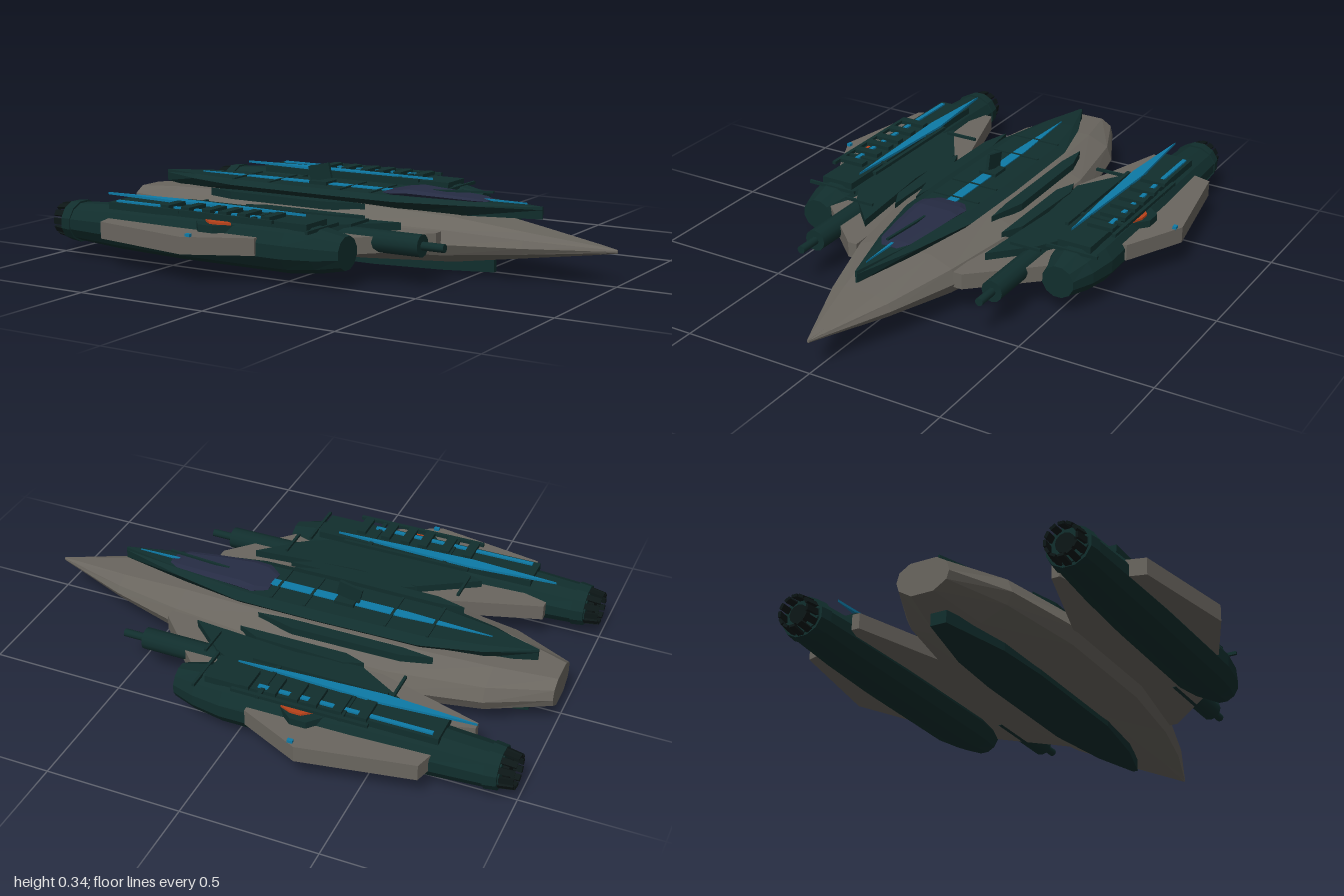
import * as THREE from 'three';

const mat = (name, color) => Object.assign(new THREE.MeshStandardMaterial({ color }), { name });

export function createModel() {
  const ship = new THREE.Group();
  ship.name = 'starship';
  const grey = mat('hull grey', 0x6a665f), dark = mat('dark teal', 0x112e2d);
  const blue = mat('blue trim', 0x0d7aa6), navy = mat('canopy navy', 0x262c44);
  const red = mat('red marking', 0xb8421a), black = mat('engine black', 0x0c1616);

  const add = (name, geo, material, parent = ship) => {
    const m = new THREE.Mesh(geo, material);
    m.name = name;
    parent.add(m);
    return m;
  };

  // Faceted body along x; sections are [x, centreY, halfWidth, halfHeight], profile is [z, y]
  const loft = (sections, profile) => {
    const n = profile.length, pos = [];
    const pt = (s, i) => {
      const [x, cy, w, h] = sections[s], [pz, py] = profile[i % n];
      return [x, cy + py * h, pz * w];
    };
    for (let s = 0; s < sections.length - 1; s++)
      for (let i = 0; i < n; i++)
        pos.push(...pt(s, i), ...pt(s + 1, i), ...pt(s + 1, i + 1),
          ...pt(s, i), ...pt(s + 1, i + 1), ...pt(s, i + 1));
    const e = sections.length - 1;
    for (let i = 0; i < n; i++) {
      pos.push(sections[0][0], sections[0][1], 0, ...pt(0, i), ...pt(0, i + 1));
      pos.push(sections[e][0], sections[e][1], 0, ...pt(e, i + 1), ...pt(e, i));
    }
    const g = new THREE.BufferGeometry();
    g.setAttribute('position', new THREE.Float32BufferAttribute(pos, 3));
    g.computeVertexNormals();
    return g;
  };

  // Flat slab from an outline of [x, z] points between two heights
  const slab = (points, y0, y1, side = 1) => {
    const shape = new THREE.Shape(points.map(([x, z]) => new THREE.Vector2(x, -z * side)));
    return new THREE.ExtrudeGeometry(shape, { depth: y1 - y0, bevelEnabled: false })
      .rotateX(-Math.PI / 2).translate(0, y0, 0);
  };
  const box = (w, h, d, x, y, z) => new THREE.BoxGeometry(w, h, d).translate(x, y, z);
  const rod = (r, x0, x1, y, z, sides = 12) => new THREE.CylinderGeometry(r, r, x1 - x0, sides)
    .rotateZ(Math.PI / 2).translate((x0 + x1) / 2, y, z);

  // Main hull
  const hullProfile = [[1, 0], [0.9, 0.6], [0.5, 1], [-0.5, 1], [-0.9, 0.6],
    [-1, 0], [-0.9, -0.5], [-0.42, -1], [0.42, -1], [0.9, -0.5]];
  add('hull', loft([
    [-0.99, 0.125, 0.1, 0.06], [-0.77, 0.122, 0.205, 0.085], [-0.43, 0.12, 0.27, 0.1],
    [0.06, 0.12, 0.27, 0.1], [0.42, 0.122, 0.21, 0.082], [0.7, 0.122, 0.125, 0.045],
    [0.93, 0.122, 0.032, 0.016], [1, 0.122, 0.004, 0.006]], hullProfile), grey);

  // Upper deck
  const deckProfile = [[1, 0.5], [0.7, 1], [-0.7, 1], [-1, 0.5], [-0.65, -1], [0.65, -1]];
  add('upperDeck', loft([
    [-0.9, 0.228, 0.004, 0.022], [-0.72, 0.226, 0.08, 0.028], [-0.5, 0.225, 0.135, 0.03],
    [-0.1, 0.225, 0.142, 0.03], [0.2, 0.225, 0.138, 0.03], [0.45, 0.228, 0.085, 0.026],
    [0.72, 0.228, 0.004, 0.022]], deckProfile), dark);
  add('deckStripe', slab([[-0.73, 0], [-0.4, 0.019], [0.12, 0.019], [0.66, 0],
    [0.12, -0.019], [-0.4, -0.019]], 0.253, 0.259), blue);
  add('canopy', loft([[0.11, 0.252, 0.055, 0.006], [0.16, 0.254, 0.092, 0.014],
    [0.22, 0.256, 0.09, 0.02], [0.36, 0.255, 0.075, 0.014], [0.48, 0.253, 0.058, 0.009],
    [0.52, 0.251, 0.03, 0.004]], deckProfile), navy);
  const probe = add('noseProbe', box(0.24, 0.007, 0.009, 0, 0, 0), dark);
  probe.position.set(0.41, 0.277, 0);
  probe.rotation.z = 0.06;
  for (const x of [-0.52, -0.36, -0.05, 0.08])
    add('deckRib', box(0.01, 0.008, 0.19, x, 0.256, 0), dark);

  // Dorsal sensor
  add('sensorBase', box(0.075, 0.014, 0.07, -0.18, 0.26, 0), dark);
  const vane = add('sensorVane', box(0.09, 0.058, 0.012, 0, 0, 0), dark);
  vane.position.set(-0.19, 0.297, 0);
  vane.rotation.z = 0.22;

  // Keel
  add('keel', slab([[-0.89, 0.03], [-0.62, 0.09], [-0.4, 0.105], [0.1, 0.105], [0.36, 0.065],
    [0.54, 0.01], [0.54, -0.01], [0.36, -0.065], [0.1, -0.105], [-0.4, -0.105],
    [-0.62, -0.09], [-0.89, -0.03]], 0, 0.045), dark);

  const round = Array.from({ length: 12 }, (_, i) => {
    const a = (i + 0.5) * Math.PI / 6;
    return [Math.cos(a), Math.sin(a)];
  });

  for (const s of [1, -1]) {
    const wing = new THREE.Group();
    wing.name = s > 0 ? 'leftWing' : 'rightWing';
    ship.add(wing);
    const put = (name, geo, material) => add(name, geo, material, wing);

    // Armour strips beside the deck
    put('hullStrip', slab([[-0.57, 0.165], [-0.46, 0.195], [-0.05, 0.2], [0.1, 0.16],
      [-0.02, 0.15], [-0.45, 0.15]], 0.2, 0.228, s), dark);
    put('shoulderStrip', slab([[-0.35, 0.255], [-0.27, 0.225], [0.14, 0.225], [0.06, 0.265],
      [-0.28, 0.28]], 0.17, 0.2, s), dark);

    // Wings
    put('innerWing', slab([[-0.81, 0.37], [-0.36, 0.23], [0.43, 0.2], [0.43, 0.235], [0.22, 0.46],
      [-0.6, 0.46], [-0.81, 0.4]], 0.11, 0.168, s), grey);
    put('wingArmour', slab([[-0.56, 0.4], [-0.35, 0.27], [-0.1, 0.285], [0.3, 0.25], [0.16, 0.38],
      [0.02, 0.46], [-0.4, 0.46]], 0.167, 0.195, s), dark);
    put('outerWing', slab([[-0.73, 0.55], [-0.7, 0.655], [-0.29, 0.73], [-0.06, 0.62],
      [-0.06, 0.55]], 0.104, 0.165, s), grey);
    put('tipLight', box(0.02, 0.012, 0.014, -0.27, 0.169, s * 0.71), blue);
    for (const [x, z, w] of [[-0.51, 0.335, 0.13], [0.19, 0.35, 0.12]])
      put('wingRod', box(0.01, 0.01, w, x, 0.2, s * z), dark);

    // Cannon
    put('cannonBody', rod(0.04, 0.12, 0.45, 0.148, s * 0.365), dark);
    put('cannonBarrel', rod(0.015, 0.44, 0.535, 0.148, s * 0.365, 10), dark);

    // Engine nacelle
    put('nacelle', loft([
      [-0.95, 0.125, 0.07, 0.062], [-0.92, 0.125, 0.085, 0.07], [-0.7, 0.125, 0.098, 0.084],
      [-0.45, 0.125, 0.108, 0.09], [0.04, 0.125, 0.113, 0.09], [0.15, 0.125, 0.095, 0.078],
      [0.24, 0.125, 0.062, 0.06]], round).translate(0, 0, s * 0.505), dark);
    put('nacelleCollar', loft([[-0.945, 0.125, 0.082, 0.074], [-0.9, 0.125, 0.09, 0.078]], round)
      .translate(0, 0, s * 0.505), dark);
    put('exhaustCore', rod(0.035, -0.97, -0.94, 0.125, s * 0.505), black);
    for (let i = 0; i < 12; i++) {
      const petal = put('exhaustPetal', box(0.055, 0.01, 0.022, 0, 0, 0), black);
      const a = i * Math.PI / 6;
      petal.position.set(-0.97, 0.125 + Math.cos(a) * 0.06, s * 0.505 + Math.sin(a) * 0.06);
      petal.rotation.set(a, 0, 0.15);
    }

    // Nacelle top details
    put('nacelleSpine', box(0.85, 0.025, 0.13, -0.31, 0.207, s * 0.5), dark);
    put('nacelleFin', slab([[-0.83, 0.45], [-0.5, 0.472], [0.04, 0.45], [-0.2, 0.436],
      [-0.5, 0.424]], 0.222, 0.231, s), blue);
    put('nacelleStripe', slab([[-0.71, 0.536], [-0.71, 0.552], [-0.08, 0.552], [-0.08, 0.536]],
      0.218, 0.226, s), blue);
    for (const x of [-0.47, -0.38, -0.29, -0.22, -0.14, -0.04])
      put('nacelleBar', box(0.035, 0.014, 0.1, x, 0.228, s * 0.53), dark);
    put('noseBar', box(0.01, 0.012, 0.2, 0.14, 0.2, s * 0.505), dark);
    for (const z of [0.41, 0.595])
      put('nacelleRail', box(0.5, 0.012, 0.014, -0.25, 0.222, s * z), dark);
    for (const x of [-0.4, -0.1])
      put('railBracket', box(0.015, 0.01, 0.2, x, 0.22, s * 0.503), dark);
    put('redMarking', slab([[-0.3, 0.57], [-0.26, 0.602], [-0.22, 0.602], [-0.18, 0.585],
      [-0.2, 0.57]], 0.192, 0.2, s), red);
    put('markingMount', slab([[-0.35, 0.56], [-0.29, 0.628], [-0.23, 0.628], [-0.15, 0.56]],
      0.166, 0.192, s), dark);
  }
  return ship;
}
